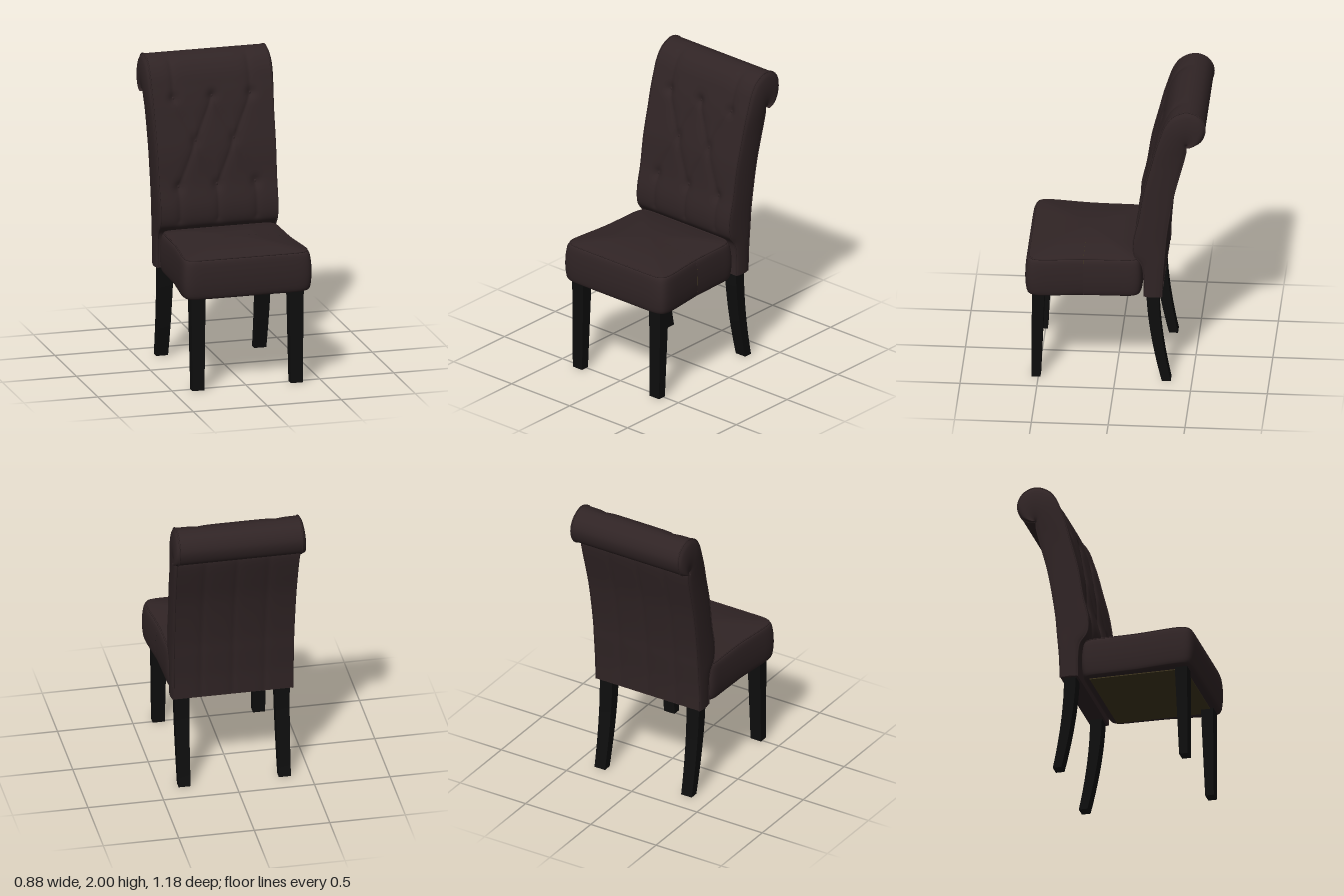
import * as THREE from 'three';

const leather = new THREE.MeshStandardMaterial({ color: 0x302425 });
leather.name = 'dark brown leather';
const wood = new THREE.MeshStandardMaterial({ color: 0x0e0e0e });
wood.name = 'black wood';
const lining = new THREE.MeshStandardMaterial({ color: 0x40371f });
lining.name = 'olive lining';

const V = (x, y, z) => new THREE.Vector3(x, y, z);

function add(parent, name, geometry, material) {
  const mesh = new THREE.Mesh(geometry, material);
  mesh.name = name;
  parent.add(mesh);
  return mesh;
}

// Smooth surface patch from a rule (u, v) -> point
function patch(rule, nu, nv) {
  const geo = new THREE.PlaneGeometry(1, 1, nu, nv);
  const pos = geo.attributes.position;
  for (let i = 0; i < pos.count; i++) {
    const p = rule(pos.getX(i) + 0.5, pos.getY(i) + 0.5);
    pos.setXYZ(i, p.x, p.y, p.z);
  }
  geo.computeVertexNormals();
  return geo;
}

// ---- Backrest: matched front and rear profile points [z, y] ----
const frontProfile = [[-0.19, 0.63], [-0.19, 0.76], [-0.175, 0.86], [-0.128, 0.93], [-0.12, 1.03],
  [-0.155, 1.2], [-0.187, 1.4], [-0.237, 1.6], [-0.262, 1.7], [-0.293, 1.8], [-0.33, 1.9], [-0.38, 1.965],
  [-0.47, 2.0], [-0.55, 1.968], [-0.588, 1.89], [-0.565, 1.8], [-0.52, 1.762], [-0.475, 1.752]];
const rearProfile = [[-0.305, 0.63], [-0.31, 0.78], [-0.318, 0.88], [-0.325, 0.96], [-0.332, 1.05],
  [-0.352, 1.2], [-0.387, 1.4], [-0.43, 1.57], [-0.455, 1.67], [-0.464, 1.72], [-0.464, 1.745], [-0.464, 1.752],
  [-0.465, 1.752], [-0.465, 1.752], [-0.465, 1.752], [-0.465, 1.752], [-0.465, 1.752], [-0.465, 1.752]];
const curveOf = pts => new THREE.CatmullRomCurve3(pts.map(([z, y]) => V(0, y, z)));
const frontCurve = curveOf(frontProfile);
const rearCurve = curveOf(rearProfile);

// Tufting buttons and the creases joining them, as x, y
const buttons = [[0, 1.74], [-0.26, 1.74], [0.26, 1.74], [-0.13, 1.46], [0.13, 1.46],
  [0, 1.17], [-0.26, 1.17], [0.26, 1.17]];
const creases = [];
for (const s of [-1, 1]) {
  creases.push([0, 1.74, s * 0.13, 1.46], [s * 0.26, 1.74, s * 0.13, 1.46],
    [s * 0.13, 1.46, 0, 1.17], [s * 0.13, 1.46, s * 0.26, 1.17],
    [s * 0.26, 1.17, s * 0.26, 0.95], [s * 0.26, 1.74, s * 0.26, 1.96]);
}
creases.push([0, 1.17, 0, 0.95]);

function segmentDistance(x, y, [ax, ay, bx, by]) {
  const dx = bx - ax, dy = by - ay;
  const t = THREE.MathUtils.clamp(((x - ax) * dx + (y - ay) * dy) / (dx * dx + dy * dy), 0, 1);
  return Math.hypot(x - ax - t * dx, y - ay - t * dy);
}

function tuftDepth(x, y) {
  const crease = Math.min(...creases.map(c => segmentDistance(x, y, c)));
  const button = Math.min(...buttons.map(b => Math.hypot(x - b[0], y - b[1])));
  return 0.013 * Math.exp(-crease / 0.025) + 0.016 * Math.exp(-((button / 0.035) ** 2));
}

const halfWidth = v => 0.395 + 0.012 * THREE.MathUtils.smoothstep(v, 0.2, 0.6);
const sideBulge = v => 0.012 + 0.018 * THREE.MathUtils.smoothstep(v, 0.3, 0.65);

function backFront(u, v) {
  const f = frontCurve.getPoint(v), b = rearCurve.getPoint(v);
  const x = (u * 2 - 1) * halfWidth(v);
  if (v < 12 / 17) f.addScaledVector(b.sub(f).normalize(), tuftDepth(x, f.y));
  f.x = x;
  return f;
}

function backRear(u, v) {
  const p = rearCurve.getPoint(v);
  p.x = (1 - u * 2) * halfWidth(v);
  const seam = Math.min(Math.abs(p.x), Math.abs(Math.abs(p.x) - 0.21));
  p.z += 0.008 * Math.exp(-seam / 0.025);
  return p;
}

const backSide = s => (u, v) => {
  const t = s > 0 ? u : 1 - u;
  const p = frontCurve.getPoint(v).lerp(rearCurve.getPoint(v), t);
  p.x = s * (halfWidth(v) + sideBulge(v) * Math.sqrt(Math.max(0, Math.sin(Math.PI * t))));
  return p;
};

function buildBackrest() {
  const g = new THREE.Group();
  g.name = 'backrest';
  add(g, 'tuftedFront', patch(backFront, 80, 136), leather);
  add(g, 'backRearPanel', patch(backRear, 60, 68), leather);
  add(g, 'backBottom', patch((u, v) => {
    const p = rearCurve.getPoint(0).lerp(frontCurve.getPoint(0), v);
    p.x = (u * 2 - 1) * halfWidth(0);
    return p;
  }, 1, 1), leather).material.side = THREE.DoubleSide;
  for (const s of [-1, 1]) {
    add(g, 'backSidePanel', patch(backSide(s), 14, 136), leather);
    // Piping along the side seams
    for (const curve of [frontCurve, rearCurve]) {
      const end = curve === frontCurve ? 1 : 11 / 17;
      const pts = Array.from({ length: 50 }, (_, i) => {
        const v = (i / 49) * end, p = curve.getPoint(v);
        p.x = s * halfWidth(v);
        return p;
      });
      add(g, 'backPiping', new THREE.TubeGeometry(new THREE.CatmullRomCurve3(pts), 100, 0.005, 6), leather);
    }
  }
  for (const [x, y] of buttons) {
    let lo = 0, hi = 11 / 17;
    for (let i = 0; i < 24; i++) {
      const mid = (lo + hi) / 2;
      if (frontCurve.getPoint(mid).y < y) lo = mid; else hi = mid;
    }
    const button = add(g, 'button', new THREE.SphereGeometry(0.011, 12, 8), leather);
    button.position.copy(backFront(x / halfWidth(lo) / 2 + 0.5, lo));
    button.scale.z = 0.6;
  }
  return g;
}

// ---- Seat: rounded outline, wider at the front ----
function seatPoint(u, y, inset, k = 1) {
  const a = -2 * Math.PI * u;
  const soft = c => Math.sign(c) * Math.abs(c) ** 0.16;
  const sz = soft(Math.sin(a));
  const z = 0.205 + sz * (0.383 - inset);
  const w = 0.405 + 0.035 * THREE.MathUtils.smoothstep(z, 0.1, 0.55);
  return V(soft(Math.cos(a)) * (w - inset) * k, y, 0.205 + (z - 0.205) * k);
}

function buildSeat() {
  const g = new THREE.Group();
  g.name = 'seat';
  const wall = new THREE.CatmullRomCurve3([[0.026, 0.62], [0.012, 0.632], [0.002, 0.69], [0, 0.75],
    [0.004, 0.82], [0.014, 0.872], [0.026, 0.885]].map(([i, y]) => V(i, y, 0)));
  add(g, 'seatWall', patch((u, v) => {
    const p = wall.getPoint(v);
    return seatPoint(u, p.y, p.x);
  }, 144, 18), leather);
  add(g, 'seatCushionTop', patch((u, v) => seatPoint(u, 0.885 + 0.046 * (1 - (1 - v) ** 2), 0.026, 1 - v), 144, 16), leather);
  add(g, 'seatUnderside', patch((u, v) => seatPoint(u, 0.62, 0.026, v), 144, 2), leather);
  const seam = Array.from({ length: 144 }, (_, i) => seatPoint(i / 144, 0.884, 0.024));
  add(g, 'seatPiping', new THREE.TubeGeometry(new THREE.CatmullRomCurve3(seam, true), 288, 0.005, 6, true), leather);
  // Dust cover beneath the seat
  add(g, 'dustCover', new THREE.BoxGeometry(0.7, 0.008, 0.64), lining).position.set(0, 0.618, 0.2);
  return g;
}

// ---- Legs: box bent by a rule giving [centre z, depth, width] for height t ----
function leg(name, side, height, rule) {
  const geo = new THREE.BoxGeometry(1, 1, 1, 1, 12, 1);
  const pos = geo.attributes.position;
  for (let i = 0; i < pos.count; i++) {
    const t = pos.getY(i) + 0.5;
    const [z, depth, width] = rule(t);
    pos.setXYZ(i, side * 0.332 + pos.getX(i) * width, t * height, z + pos.getZ(i) * depth);
  }
  geo.computeVertexNormals();
  const mesh = new THREE.Mesh(geo, wood);
  mesh.name = name;
  return mesh;
}

export function createModel() {
  const model = new THREE.Group();
  model.name = 'diningChair';
  model.add(buildBackrest(), buildSeat());
  for (const s of [-1, 1]) {
    model.add(leg('frontLeg', s, 0.625, t => [0.515 - 0.015 * t, 0.058 + 0.024 * t, 0.08 + 0.016 * t]));
    model.add(leg('rearLeg', s, 0.635, t => [-0.245 - 0.088 * (1 - t) ** 1.7, 0.058 + 0.022 * t, 0.08 + 0.016 * t]));
  }
  return model;
}
